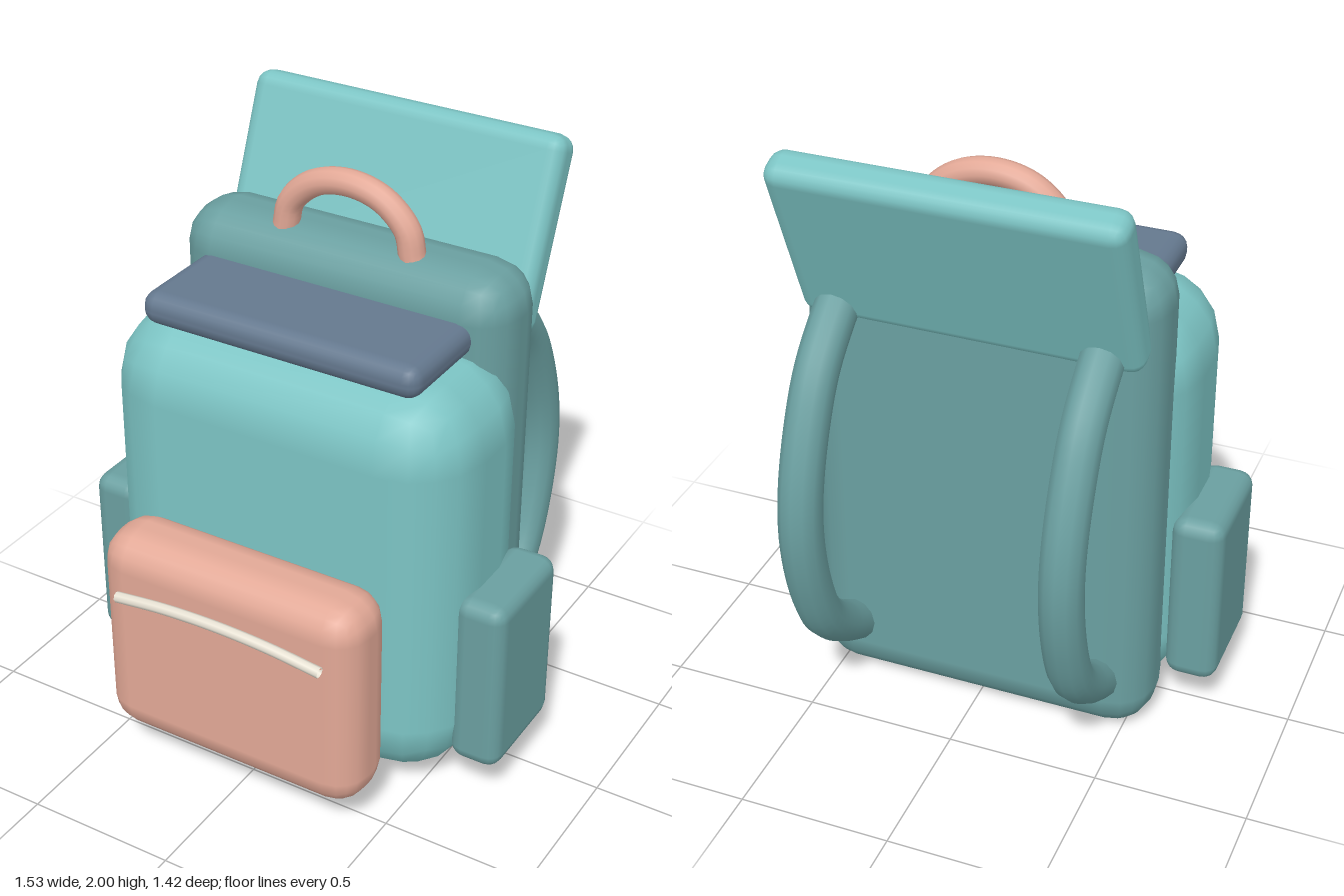
import * as THREE from 'three';
import { RoundedBoxGeometry } from 'three/addons/geometries/RoundedBoxGeometry.js';

const mat = (color, side = THREE.FrontSide) => new THREE.MeshStandardMaterial({ color, side });

export function createModel() {
  const group = new THREE.Group();
  const teal = mat(0x7cc4c4);
  const darkTeal = mat(0x6a9fa0);
  const salmon = mat(0xe2a896);
  const slate = mat(0x64788e);
  const cream = mat(0xe8e2d4, THREE.DoubleSide);

  const add = (name, geometry, material) => {
    const mesh = new THREE.Mesh(geometry, material);
    mesh.name = name;
    group.add(mesh);
    return mesh;
  };

  // Rounded block given by its lower and upper corners
  const block = (name, min, max, radius, material) => {
    const s = max.map((v, i) => v - min[i]);
    const mesh = add(name, new RoundedBoxGeometry(s[0], s[1], s[2], 2, radius), material);
    mesh.position.set(...max.map((v, i) => (v + min[i]) / 2));
    return mesh;
  };

  // Round tube through a few points
  const tube = (name, points, radius, segments, sides, material) => {
    const curve = new THREE.CatmullRomCurve3(points.map(p => new THREE.Vector3(...p)));
    return add(name, new THREE.TubeGeometry(curve, segments, radius, sides), material);
  };

  // Main bag and back panel
  block('mainBody', [-0.635, 0.04, -0.2], [0.635, 1.47, 0.425], 0.25, teal);
  block('backPanel', [-0.585, 0, -0.3], [0.585, 1.69, 0.02], 0.14, darkTeal);

  // Front pocket with its curved zip
  block('frontPocket', [-0.47, 0.12, 0.41], [0.47, 0.865, 0.67], 0.11, salmon);
  tube('pocketZip', [
    [-0.37, 0.672, 0.686], [-0.19, 0.694, 0.688], [0, 0.703, 0.69],
    [0.19, 0.694, 0.688], [0.37, 0.672, 0.686],
  ], 0.018, 24, 8, cream);

  // Front flap and the raised lid leaning backwards
  block('frontFlap', [-0.485, 1.445, -0.05], [0.485, 1.555, 0.345], 0.05, slate);
  const lid = block('openLid', [-0.55, 1.387, -0.432], [0.55, 2.013, -0.302], 0.05, teal);
  lid.rotation.x = -0.384;

  // Carrying handle
  tube('topHandle', [
    [-0.225, 1.67, -0.093], [-0.205, 1.755, -0.093], [-0.12, 1.835, -0.093],
    [0, 1.863, -0.093],
    [0.12, 1.835, -0.093], [0.205, 1.755, -0.093], [0.225, 1.67, -0.093],
  ], 0.043, 32, 12, salmon);

  // Side pockets and shoulder straps, mirrored
  const strapPath = [
    [1.48, -0.25], [1.44, -0.32], [1.31, -0.467], [1.17, -0.55], [0.97, -0.62], [0.8, -0.637],
    [0.6, -0.605], [0.43, -0.535], [0.31, -0.42], [0.23, -0.3], [0.2, -0.25],
  ];
  for (const [side, s] of [['left', 1], ['right', -1]]) {
    const pocket = block(side + 'SidePocket', [0.59, 0.155, -0.11], [0.765, 0.77, 0.28], 0.05, darkTeal);
    pocket.position.x *= s;
    tube(side + 'ShoulderStrap', strapPath.map(([y, z]) => [0.425 * s, y, z]), 0.07, 40, 12, darkTeal);
  }

  return group;
}
